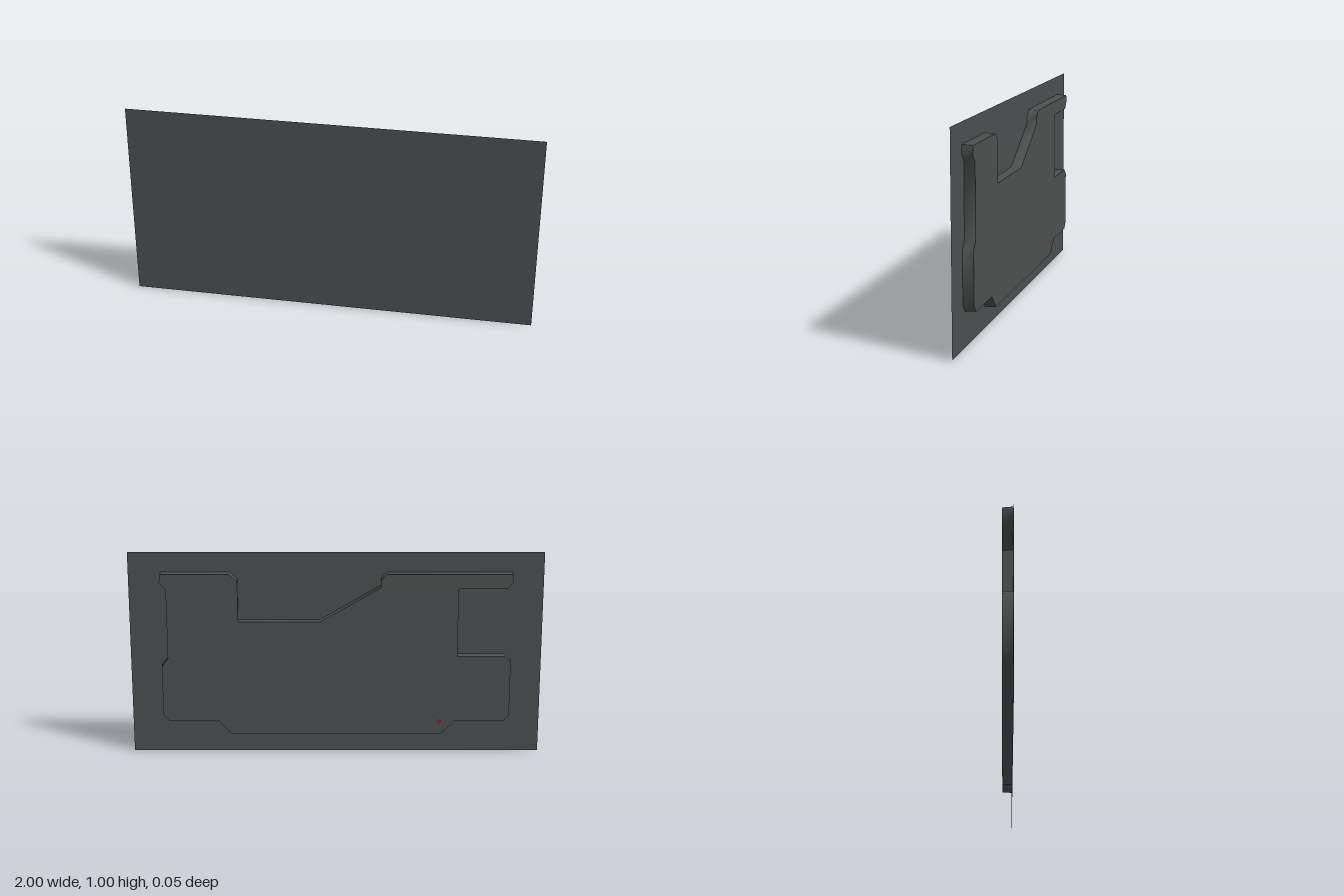
import * as THREE from 'three';
import { toCreasedNormals } from 'three/addons/utils/BufferGeometryUtils.js';

export function createModel() {
  const group = new THREE.Group();
  const panelGrey = new THREE.MeshStandardMaterial({ color: 0x4b4f50, side: THREE.DoubleSide });
  const slabGrey = new THREE.MeshStandardMaterial({ color: 0x4b504f });
  const markRed = new THREE.MeshStandardMaterial({ color: 0x9a1a1a });
  panelGrey.name = 'panel grey';
  slabGrey.name = 'slab grey';
  markRed.name = 'mark red';

  const add = (name, geometry, material, x, y, z) => {
    const mesh = new THREE.Mesh(geometry, material);
    mesh.name = name;
    mesh.position.set(x, y, z);
    group.add(mesh);
    return mesh;
  };

  // Flat front sheet
  add('frontPanel', new THREE.PlaneGeometry(2, 1), panelGrey, 0, 0.5, 0.025);

  // Notched slab behind the sheet, outline measured from the ground
  const outline = [
    [0.84, 0.9], [0.847, 0.86], [0.815, 0.825], [0.815, 0.483], [0.845, 0.445],
    [0.845, 0.2], [0.815, 0.167], [0.575, 0.167], [0.515, 0.102],
    [-0.515, 0.102], [-0.58, 0.167], [-0.82, 0.167], [-0.847, 0.2],
    [-0.847, 0.47], [-0.815, 0.497], [-0.588, 0.497], [-0.588, 0.83],
    [-0.82, 0.83], [-0.847, 0.86], [-0.845, 0.9],
    [-0.243, 0.9], [-0.215, 0.87], [-0.215, 0.836], [0.075, 0.668],
    [0.472, 0.668], [0.472, 0.867], [0.51, 0.9],
  ].map(([x, y]) => new THREE.Vector2(x, y - 0.5));
  const slab = new THREE.ExtrudeGeometry(new THREE.Shape(outline), { depth: 0.0494, bevelEnabled: false });

  // Slight flare of the walls toward the sheet
  const p = slab.attributes.position;
  for (let i = 0; i < p.count; i++) {
    if (p.getZ(i) > 0.02) p.setXY(i, p.getX(i) * 1.004, p.getY(i) * 1.007);
  }
  add('backSlab', toCreasedNormals(slab, Math.PI / 3), slabGrey, 0, 0.5, -0.025);

  // Tiny red mark on the rear face
  const mark = add('redMark', new THREE.CircleGeometry(0.012, 8), markRed, -0.505, 0.167, -0.0256);
  mark.rotation.y = Math.PI;

  return group;
}
